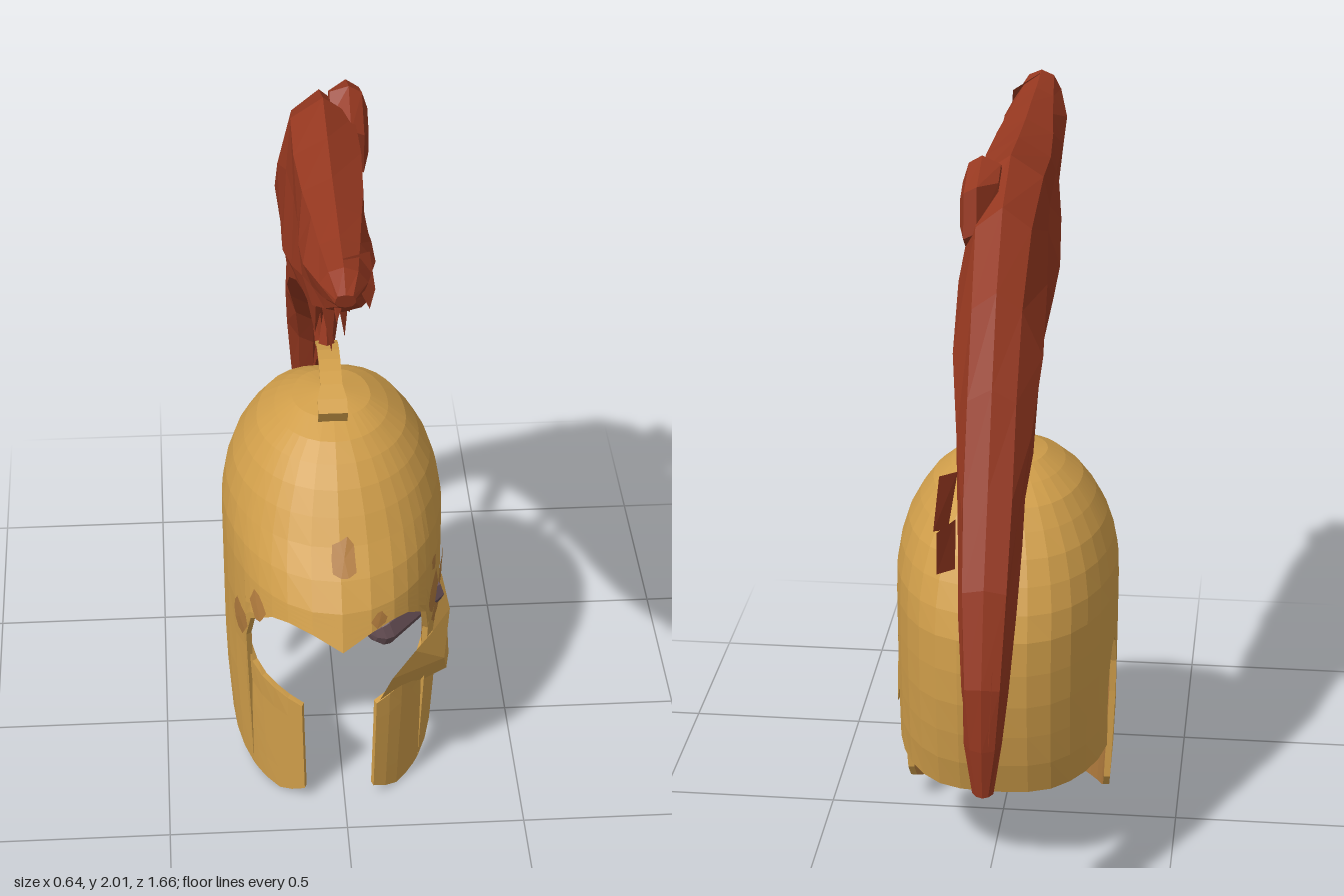
import * as THREE from 'three';

const mat = (name, color) => new THREE.MeshStandardMaterial({ name, color, flatShading: true, side: THREE.DoubleSide });
const gold = mat('gold', 0xd09e4a), brown = mat('worn bronze', 0xb27c3e);
const red = mat('red', 0x963820), iron = mat('dark iron', 0x6a5258);
const V = (x, y, z) => new THREE.Vector3(x, y, z);

// linear lookup in a list of [key, value] pairs
function look(table, k) {
  for (let i = 1; i < table.length; i++) {
    const [k0, v0] = table[i - 1], [k1, v1] = table[i];
    if (k <= k1) return v0 + (v1 - v0) * Math.max(0, (k - k0) / (k1 - k0));
  }
  return table[table.length - 1][1];
}

function triangles(name, material, pts) {
  const g = new THREE.BufferGeometry().setFromPoints(pts);
  g.computeVertexNormals();
  const m = new THREE.Mesh(g, material);
  m.name = name;
  return m;
}

// surface through a grid of points
function sheet(name, material, grid, flip = false) {
  const pts = [];
  for (let i = 0; i + 1 < grid.length; i++)
    for (let j = 0; j + 1 < grid[i].length; j++) {
      const a = grid[i][j], b = grid[i + 1][j], c = grid[i + 1][j + 1], d = grid[i][j + 1];
      for (const t of [[a, b, c], [a, c, d]]) {
        if (V(0, 0, 0).crossVectors(t[1].clone().sub(t[0]), t[2].clone().sub(t[0])).length() < 1e-6) continue;
        pts.push(...(flip ? [t[0], t[2], t[1]] : t));
      }
    }
  return triangles(name, material, pts);
}

// closed solid through rings, ends closed at their centres
function loft(name, material, rings) {
  const closed = rings.map(r => [...r, r[0]]);
  const cap = r => {
    const c = V(0, 0, 0);
    r.forEach(p => c.addScaledVector(p, 1 / r.length));
    return Array(r.length + 1).fill(c);
  };
  return sheet(name, material, [cap(rings[0]), ...closed, cap(rings[rings.length - 1])]);
}

// helmet form: half width, back reach and front reach by height
const TOP = 1.16, BROW = .75;
const WIDTH = [[0, .285], [.3, .305], [.81, .308], [.9, .293], [.96, .272], [1.05, .222], [1.1, .165], [1.14, .1], [TOP, 0]];
const BACK = [[0, .4], [.27, .39], [.4, .43], [.6, .457], [.75, .45], [.85, .42], [.97, .35], [1.08, .25], [1.14, .12], [TOP, 0]];
const FRONT = [[0, .388], [.35, .388], [.45, .42], [.55, .5], [.65, .53], [.75, .49], [.82, .44], [.9, .37], [1, .3], [1.1, .2], [1.14, .1], [TOP, 0]];
function onHelmet(deg, y, inset = 0) {
  const p = deg * Math.PI / 180, c = -Math.cos(p), s = Math.sin(p);
  const r = t => Math.max(0, look(t, y) - inset);
  const side = c > 0 ? s : Math.sign(s) * Math.abs(s) ** .75;
  return V(-.015 + r(WIDTH) * side, y - inset * Math.max(0, (y - .9) / .26), r(c > 0 ? FRONT : BACK) * c);
}

// row heights; above the brow they are the same for all columns
function heights(a, b) {
  const ys = [], top = b === TOP ? BROW : b;
  for (let i = 0; i <= 5; i++) ys.push(a + (top - a) * i / 5);
  if (b === TOP) for (let i = 1; i <= 9; i++) ys.push(BROW + (TOP - BROW) * Math.sin(i / 9 * Math.PI / 2));
  return ys;
}

// wall with thickness; columns are [angle from the back, low edge, high edge]
function shell(name, cols, wall = .018) {
  const g = new THREE.Group();
  g.name = name;
  const grid = (inset, low, high) => cols.map(c => heights(low(c), high(c)).map(y => onHelmet(c[0], y, inset)));
  const lo = c => c[1], hi = c => c[2];
  const liningTop = c => Math.min(c[2], c[0] >= 89 && c[0] <= 271 ? BROW : .36);
  const mid = c => Math.max(c[1], liningTop(c));
  const outer = grid(0, lo, hi), inner = grid(wall, lo, hi), last = outer[0].length - 1;
  g.add(sheet(name + ' outside', gold, outer, true));
  g.add(sheet(name + ' lining', brown, grid(wall, lo, mid)));
  g.add(sheet(name + ' lower rim', gold, outer.map((c, i) => [c[0], inner[i][0]])));
  if (cols[0][2] === TOP) g.add(sheet(name + ' inside', gold, grid(wall, mid, hi)));
  else {
    g.add(sheet(name + ' upper rim', gold, outer.map((c, i) => [c[last], inner[i][last]])));
    for (const e of [0, cols.length - 1]) g.add(sheet(name + ' end rim', gold, [outer[e], inner[e]]));
  }
  return g;
}
const mirror = cols => cols.map(([p, ...r]) => [360 - p, ...r]).reverse();

// small pointed tuft of hair
function tuft(a, b, r) {
  const m = new THREE.Mesh(new THREE.ConeGeometry(r, a.distanceTo(b), 4), red);
  m.position.copy(a).lerp(b, .5);
  m.quaternion.setFromUnitVectors(V(0, 1, 0), b.clone().sub(a).normalize());
  m.name = 'hair tuft';
  return m;
}

export function createModel() {
  const root = new THREE.Group();
  root.name = 'crested helmet';

  // dome with neck guard, ear notches and peaked brow
  const half = [[0, .27], [12, .27], [24, .27], [36, .275], [48, .28], [60, .285], [71, .295], [71, .48], [74, .55],
    [77, .59], [81, .605], [85, .58], [89, .5], [90, .4], [91, .12], [95, .08], [104, .05], [114, .03], [124, .015], [124, .52],
    [128, .62], [135, .66], [143, .69], [152, .7], [165, .69], [180, .65]].map(c => [...c, TOP]);
  root.add(shell('dome', [...half, ...mirror(half).slice(1)]));

  // front parts of the cheek guards
  const cheek = [[124, .015, .47], [129, .01, .42], [136, .005, .39], [144, 0, .37], [152, .015, .35], [160, .035, .335]];
  root.add(shell('left cheek guard', cheek), shell('right cheek guard', mirror(cheek)));

  // crumpled fold on the left cheek guard
  const A = V(.13, .45, .4), B = V(.2, .49, .33), C = V(.312, .495, .15), D = V(.312, .42, .06), E = V(.305, .29, .16),
    F = V(.318, .29, .09), G = V(.29, .39, .24), H = V(.1, .34, .355), K = V(.293, .57, .08), L = V(.25, .52, .285), M = V(.29, .45, -.01);
  root.add(triangles('cheek fold', gold, [A, G, B, B, G, C, A, H, G, H, E, G, C, G, D, D, G, F, G, E, F,
    C, K, L, C, L, B, C, D, K, D, M, K, D, F, M]));

  // worn patches: angle, height, angular radius, vertical radius
  [[178, .87, 6.5, .045], [120, .64, 6, .06], [116, .555, 6, .045], [108, .64, 6, .035], [102, .655, 4, .022], [121, .74, 2.5, .02],
    [94, .535, 2, .027], [108, .54, 2.5, .025], [161, .72, 4, .02], [226, .69, 5, .04], [240, .58, 6, .06]].forEach(([p, y, rp, ry], n) => {
    const pts = [], edge = i => {
      const t = i % 10 / 10 * Math.PI * 2, k = 1 + .15 * Math.sin(i % 10 * 2.3 + n);
      return onHelmet(p + rp * k * Math.cos(t), y + ry * k * Math.sin(t), -.005);
    };
    for (let i = 0; i < 10; i++) pts.push(onHelmet(p, y, -.006), edge(i + 1), edge(i));
    root.add(triangles('worn patch', brown, pts));
  });

  // iron peg inside the eye opening
  const p0 = V(.1, .575, .315), p1 = V(.258, .61, .19), length = p0.distanceTo(p1);
  const peg = new THREE.Group();
  peg.name = 'peg';
  const shaft = new THREE.Mesh(new THREE.CylinderGeometry(.045, .06, length, 8), iron);
  const knob = new THREE.Mesh(new THREE.SphereGeometry(.06, 8, 6), iron);
  shaft.name = 'peg shaft';
  knob.name = 'peg end';
  knob.scale.y = .7;
  knob.position.y = -length / 2;
  peg.add(shaft, knob);
  peg.position.copy(p0).lerp(p1, .5);
  peg.quaternion.setFromUnitVectors(V(0, 1, 0), p1.clone().sub(p0).normalize());
  root.add(peg);

  // crest holder: red rail over the dome, thin gold strip on its front
  const path = new THREE.CatmullRomCurve3([[.13, 1.145], [.06, 1.18], [-.05, 1.205], [-.15, 1.185], [-.27, 1.095], [-.38, .97],
    [-.433, .86], [-.458, .72], [-.466, .6], [-.462, .48]].map(([z, y]) => V(-.018, y, z)));
  const rail = (name, material, t0, t1, n, w, from, to) => {
    const rings = [];
    for (let i = 0; i <= n; i++) {
      const t = t0 + (t1 - t0) * i / n, p = path.getPointAt(t), d = path.getTangentAt(t), ww = w(t);
      const out = V(0, -d.z, d.y);
      rings.push([[-ww, from], [ww, from], [ww, to], [-ww, to]].map(([x, o]) => p.clone().addScaledVector(out, o).add(V(x, 0, 0))));
    }
    root.add(loft(name, material, rings));
  };
  rail('crest rail', red, .012, 1, 20, t => t > .97 ? .012 : .026 + .012 * Math.max(0, t - .6), -.024, .016);
  rail('rail strip', gold, 0, .32, 8, t => t < .05 ? .04 : .03, .016, .025);
  rail('rail tip', gold, 0, .012, 1, () => .04, -.03, .025);

  // plume: top edge z, y, lower edge z, y, half width
  const plume = [[.83, 1.965, .82, 1.925, .025], [.76, 2, .72, 1.85, .055], [.6, 1.99, .57, 1.76, .08], [.45, 1.99, .4, 1.66, .09],
    [.3, 1.985, .25, 1.57, .097], [.1, 1.99, .05, 1.46, .105], [-.1, 2, -.08, 1.4, .11], [-.3, 1.92, -.24, 1.31, .11],
    [-.45, 1.74, -.36, 1.22, .105], [-.56, 1.52, -.48, 1.12, .093], [-.66, 1.28, -.57, 1.02, .08], [-.76, 1.05, -.64, .9, .068],
    [-.825, .8, -.7, .73, .058], [-.825, .62, -.71, .64, .048], [-.81, .48, -.76, .495, .025]];
  root.add(loft('plume', red, plume.map(([z0, y0, z1, y1, w], i) => [...Array(10).keys()].map(k => {
    const t = k / 10 * Math.PI * 2, c = Math.cos(t), s = Math.sin(t);
    const f = .5 + .5 * c, x = Math.sign(s) * Math.abs(s) ** .6 * w * (1 + .15 * Math.sin(i * 7.3 + k * 3.1));
    return V(-.03 + x, y1 + (y0 - y1) * f, z1 + (z0 - z1) * f);
  }))));

  // clump of hair standing out on the plume's left side
  root.add(loft('hair clump', red, [[-.01, 1.91, .07, .08], [.04, 1.89, .14, .12], [.075, 1.87, .13, .12], [.09, 1.87, .07, .07]]
    .map(([x, y, rz, ry]) => [...Array(6).keys()].map(k => V(x, y + ry * Math.sin(k * 1.047 + .4), -.16 + rz * Math.cos(k * 1.047 + .4))))));

  // flat locks of hair: four corners each
  [[[.05, 1.32, -.63], [.09, 1.33, -.69], [.1, 1.2, -.74], [.07, 1.18, -.68]],
    [[.05, 1.21, -.68], [.09, 1.2, -.75], [.09, 1.09, -.76], [.05, 1.08, -.7]],
    [[-.05, .8, -.79], [-.06, .86, -.83], [-.05, .64, -.835], [-.04, .66, -.79]],
    [[-.04, 1.09, -.56], [-.02, 1.13, -.48], [-.01, .99, -.39], [-.03, .95, -.43]],
    [[-.03, 2, .72], [.04, 1.97, .64], [.05, 1.9, .7], [.03, 1.9, .79]]]
    .forEach(q => {
      const [a, b, c, d] = q.map(p => V(...p));
      root.add(triangles('flat lock', red, [a, b, c, a, c, d]));
    });

  // loose tufts: base, tip, radius
  [[[-.02, 1.43, -.05], [-.01, 1.23, -.07], .03], [[.02, 1.42, -.1], [.03, 1.24, -.13], .025], [[-.05, 1.4, -.13], [-.05, 1.23, -.17], .03],
    [[-.02, 1.2, -.13], [-.02, 1.36, -.16], .025], [[0, 1.56, .12], [.03, 1.45, .08], .04],
    [[-.04, 1.95, .76], [-.05, 1.87, .8], .025], [[.02, 1.7, .3], [.06, 1.62, .22], .04]]
    .forEach(([a, b, r]) => root.add(tuft(V(...a), V(...b), r)));
  return root;
}
